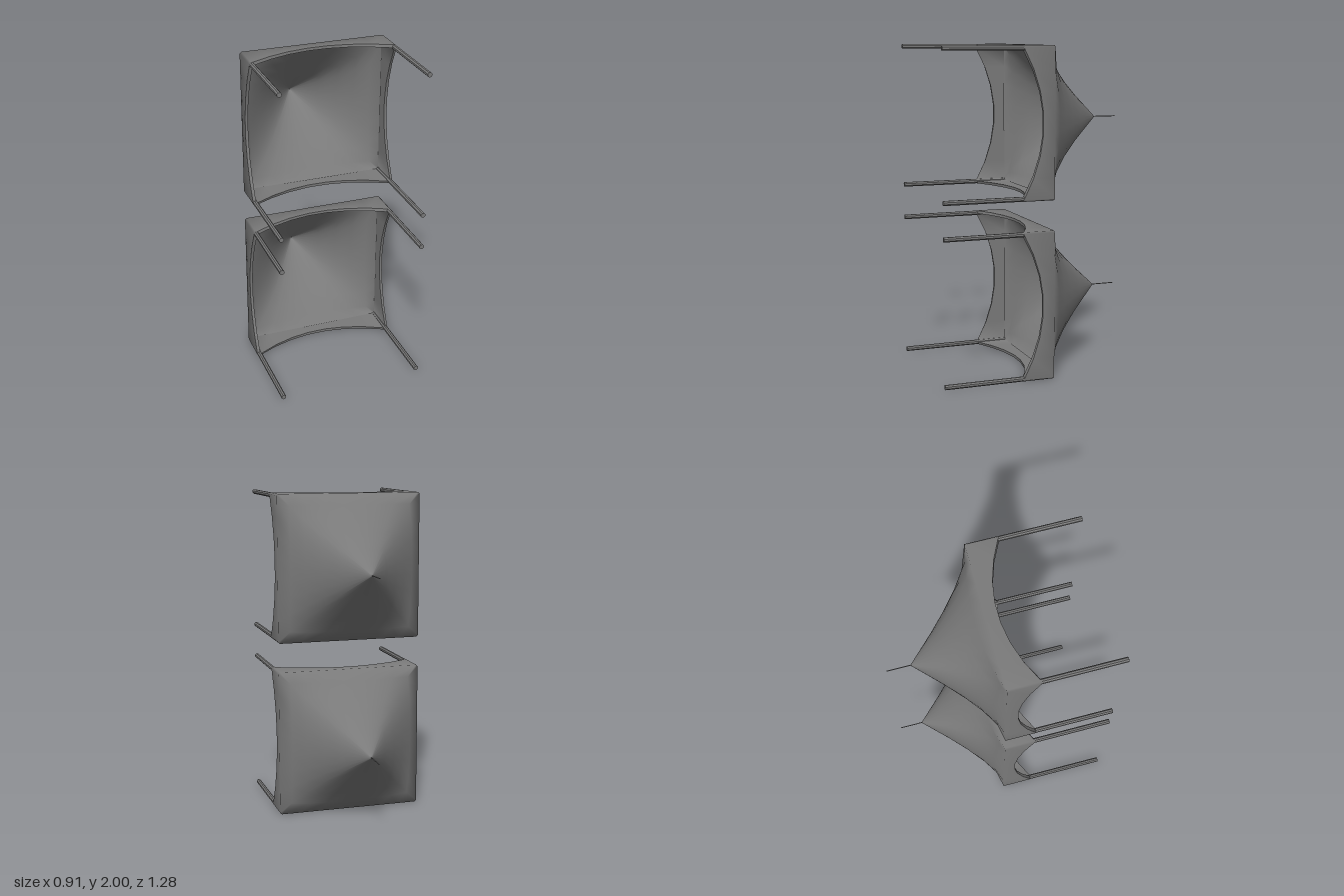
import * as THREE from 'three';
import { mergeVertices, toCreasedNormals } from 'three/addons/utils/BufferGeometryUtils.js';

const HALF = 0.455, FLAT = 0.445, CORNER = 0.45, EAVE = 0.045, APEX = 0.497, SEG = 7;
const material = new THREE.MeshStandardMaterial({ color: 0x7a7a7a, side: THREE.DoubleSide });

// Square outline with small cut corners; u runs along each side
function outline() {
  const pts = [];
  for (let side = 0; side < 4; side++) {
    const c = Math.round(Math.cos(side * Math.PI / 2)), s = Math.round(Math.sin(side * Math.PI / 2));
    for (let i = 0; i <= SEG; i++) {
      const u = FLAT * (2 * i / SEG - 1);
      pts.push({ u, hip: i === 0 || i === SEG, x: c * u + s * HALF, z: -s * u + c * HALF });
    }
  }
  return pts;
}

// Height of the arched lower edge of the valance
const arch = u => -0.15 + 0.125 * (1 - (u / FLAT) ** 2);

// Joins closed rings of points, with smooth shared normals
function loft(rings) {
  const n = rings[0].length, index = [];
  for (let r = 0; r < rings.length - 1; r++) {
    for (let i = 0; i < n; i++) {
      const a = r * n + i, b = r * n + (i + 1) % n;
      index.push(a, b, b + n, a, b + n, a + n);
    }
  }
  const geo = new THREE.BufferGeometry();
  geo.setAttribute('position', new THREE.Float32BufferAttribute(rings.flat(2), 3));
  geo.setIndex(index);
  const merged = mergeVertices(geo);
  merged.computeVertexNormals();
  return merged;
}

// Outer cloth: arched valance, then a tented roof that sags along the hips
function clothGeometry() {
  const pts = outline();
  const rings = [
    pts.map(p => [p.x, arch(p.u), p.z]),
    pts.map(p => [p.x, EAVE, p.z]),
  ];
  for (const t of [0.85, 0.68, 0.5, 0.3, 0.02]) {
    rings.push(pts.map(({ u, hip, x, z }) => {
      const sag = 0.25 * (u / FLAT) ** 2 * t ** 1.3 * (1 - t) ** 0.8;
      const y = EAVE + (APEX - EAVE) * (1 - t) - 0.06 * t * (1 - t) - sag;
      return hip ? [Math.sign(x) * CORNER * t, y, Math.sign(z) * CORNER * t] : [x * t, y, z * t];
    }));
  }
  rings.push(pts.map(() => [0, APEX, 0]));
  return loft(rings);
}

// Inner face and lower rim that give the valance its thickness
function liningGeometry() {
  const pts = outline(), inner = 0.962;
  const ring = (scale, height) => pts.map(p => [p.x * scale, height(p.u), p.z * scale]);
  return toCreasedNormals(loft([ring(inner, () => EAVE), ring(inner, arch), ring(1, arch)]), 0.9);
}

export function createModel() {
  const model = new THREE.Group();
  const cloth = clothGeometry(), lining = liningGeometry();
  const post = toCreasedNormals(new THREE.CylinderGeometry(0.0151, 0.0151, 0.68, 8), 0.6);
  post.rotateY(Math.PI / 8);
  const mast = new THREE.CylinderGeometry(0.003, 0.003, 0.15, 8);

  const add = (parent, name, geo, x = 0, y = 0, z = 0) => {
    const mesh = new THREE.Mesh(geo, material);
    mesh.name = name;
    mesh.position.set(x, y, z);
    parent.add(mesh);
  };

  // Two canopies lying on their sides, peaks to the back
  [['lowerCanopy', 0.455], ['upperCanopy', 1.547]].forEach(([name, height]) => {
    const canopy = new THREE.Group();
    canopy.name = name;
    add(canopy, 'cloth', cloth);
    add(canopy, 'valanceLining', lining);
    add(canopy, 'mast', mast, 0, 0.563, 0);
    for (const sx of [-1, 1]) {
      for (const sz of [-1, 1]) add(canopy, 'post', post, sx * 0.44, -0.298, sz * 0.44);
    }
    canopy.rotation.x = -Math.PI / 2;
    canopy.position.y = height;
    model.add(canopy);
  });
  return model;
}
